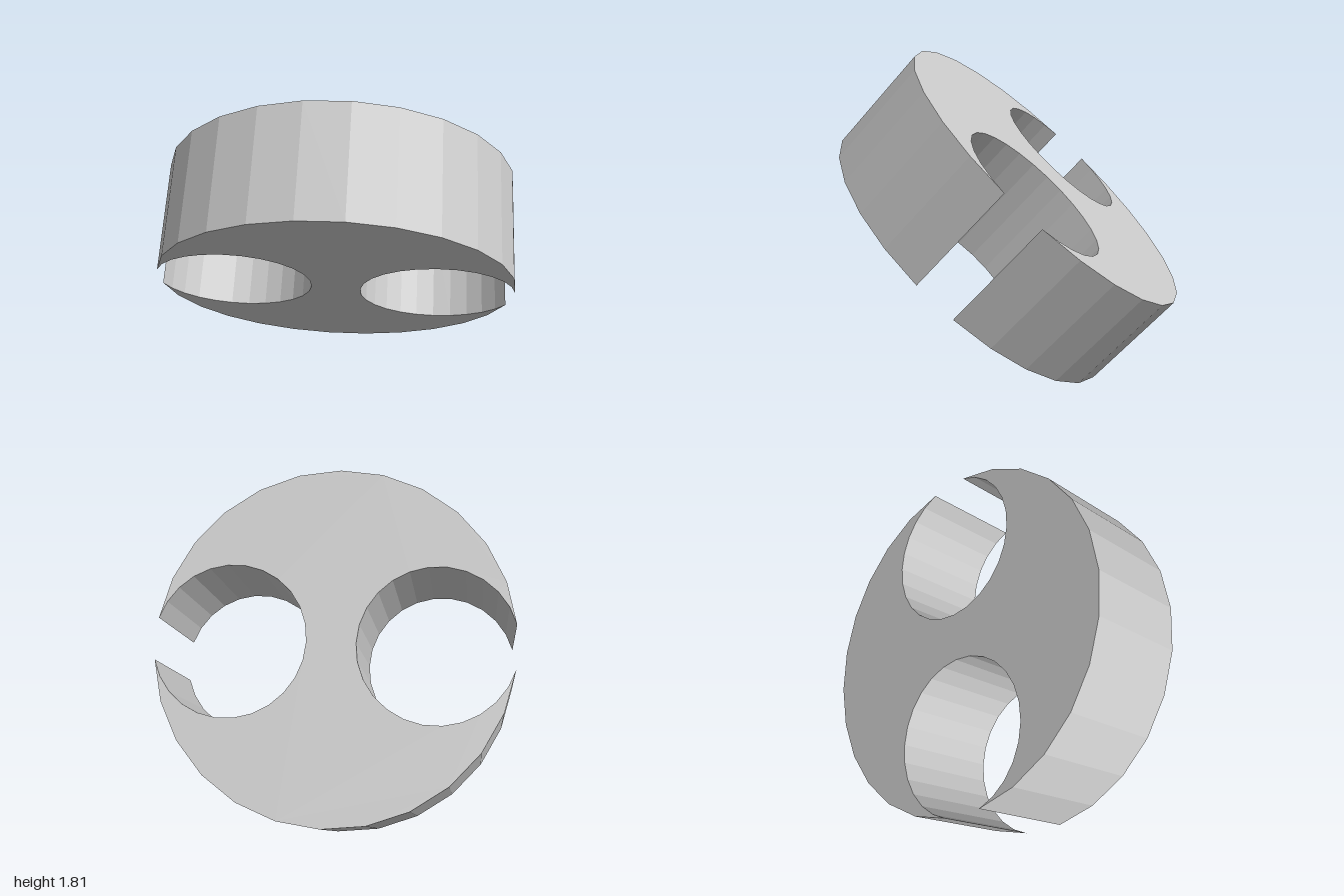
import * as THREE from 'three';

const RADIUS = 0.988;      // rim corner radius
const SIDES = 26;          // rim facets
const HEIGHT = 0.627;      // disc thickness
const HOLE_DIST = 0.567;   // hole centre from disc centre
const HOLE_STEPS = 24;     // facets around each open hole
const TURN = THREE.MathUtils.degToRad(8.8);

// Disc outline: two rim arcs joined by two round holes that each cut out one rim facet
function discOutline() {
  const half = Math.PI / SIDES;
  const dx = RADIUS * Math.cos(half) - HOLE_DIST;
  const dy = RADIUS * Math.sin(half);
  const holeRadius = Math.hypot(dx, dy);
  const open = Math.atan2(dy, dx);
  const points = [];
  for (const start of [TURN, TURN + Math.PI]) {
    // rim, from the end of this hole to the start of the next
    for (let i = 0; i < SIDES / 2; i++) {
      const a = start + half + i * 2 * half;
      points.push(new THREE.Vector2(RADIUS * Math.cos(a), RADIUS * Math.sin(a)));
    }
    // inside wall of the next hole, running backwards
    const dir = start + Math.PI;
    for (let i = 1; i < HOLE_STEPS; i++) {
      const t = dir - open - (i / HOLE_STEPS) * 2 * (Math.PI - open);
      points.push(new THREE.Vector2(
        HOLE_DIST * Math.cos(dir) + holeRadius * Math.cos(t),
        HOLE_DIST * Math.sin(dir) + holeRadius * Math.sin(t)
      ));
    }
  }
  return new THREE.Shape(points);
}

export function createModel() {
  const group = new THREE.Group();
  group.name = 'tiltedDisc';

  const grey = new THREE.MeshStandardMaterial({ color: 0xc6c6c6, flatShading: true });
  grey.name = 'light grey';

  const geometry = new THREE.ExtrudeGeometry(discOutline(), { depth: HEIGHT, bevelEnabled: false });
  geometry.translate(0, 0, -HEIGHT / 2);

  // Tilt the disc so that its axis leans to the back
  const axis = new THREE.Vector3(-0.048, 0.726, -0.686).normalize();
  const across = new THREE.Vector3(1, 0, 0).addScaledVector(axis, -axis.x).normalize();
  const along = new THREE.Vector3().crossVectors(axis, across);
  geometry.applyMatrix4(new THREE.Matrix4().makeBasis(across, along, axis));

  // Centre it and stand it on the ground
  geometry.computeBoundingBox();
  const box = geometry.boundingBox;
  const mid = box.getCenter(new THREE.Vector3());
  geometry.translate(-mid.x, -box.min.y, -mid.z);

  const disc = new THREE.Mesh(geometry, grey);
  disc.name = 'discWithOpenHoles';
  group.add(disc);
  return group;
}
